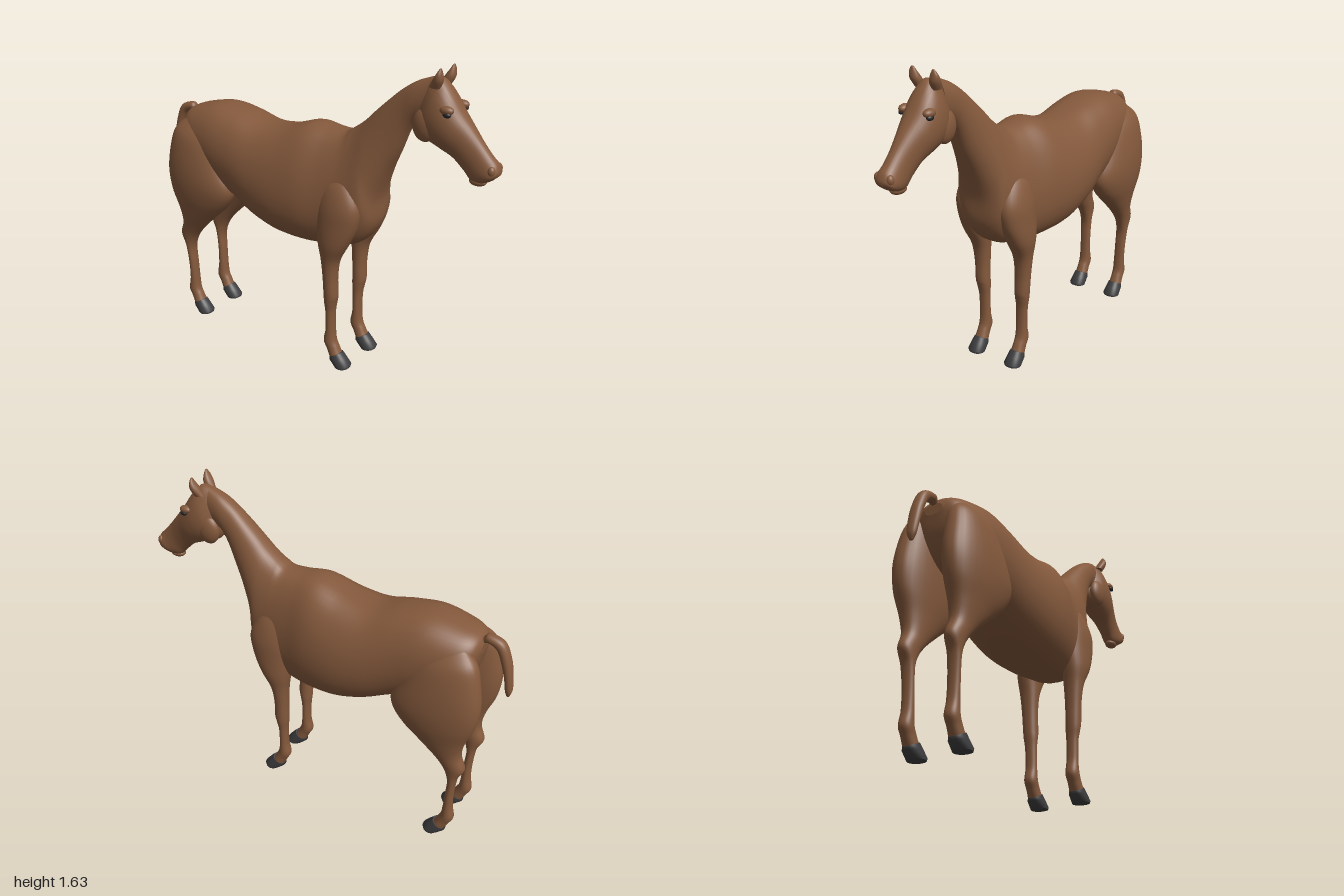
import * as THREE from 'three';

const coat = new THREE.MeshStandardMaterial({ name: 'brownCoat', color: 0x84593c });
const hoofGrey = new THREE.MeshStandardMaterial({ name: 'hoofGrey', color: 0x3d3d3f });
const eyeDark = new THREE.MeshStandardMaterial({ name: 'eyeDark', color: 0x262628 });

// Smooth curve through four values, evaluated between b and c
function spline(a, b, c, d, t) {
  return b + 0.5 * t * (c - a + t * (2 * a - 5 * b + 4 * c - d + t * (3 * (b - c) + d - a)));
}

// Loft through oval sections. Each section is [z1, y1, z2, y2, halfWidth, centreX, skew]:
// two opposite points on the mid plane, and a width that skew shifts towards the second point.
function loft(sections, { side = 1, steps = 6, sides = 32, power = 0.85 } = {}) {
  const full = sections.map(s => [...s, 0, 0].slice(0, 7));
  const rows = [];
  for (let i = 0; i < full.length - 1; i++) {
    const at = n => full[Math.min(Math.max(n, 0), full.length - 1)];
    for (let k = 0; k < steps; k++) {
      rows.push(full[i].map((_, n) => spline(at(i - 1)[n], at(i)[n], at(i + 1)[n], at(i + 2)[n], k / steps)));
    }
  }
  rows.push(full[full.length - 1]);

  const positions = [], index = [];
  const addRing = ([z1, y1, z2, y2, w, cx, skew]) => {
    const start = positions.length / 3;
    for (let j = 0; j < sides; j++) {
      const a = j / sides * Math.PI * 2, c = Math.cos(a), s = Math.sin(a);
      const x = Math.sign(s) * Math.abs(s) ** power * w * (1 - skew * c);
      positions.push(cx * side + x, (y1 + y2) / 2 + c * (y1 - y2) / 2, (z1 + z2) / 2 + c * (z1 - z2) / 2);
    }
    return start;
  };
  rows.forEach(addRing);
  for (let i = 0; i < rows.length - 1; i++) {
    for (let j = 0; j < sides; j++) {
      const a = i * sides + j, b = i * sides + (j + 1) % sides;
      index.push(a, a + sides, b + sides, a, b + sides, b);
    }
  }
  // Flat end caps
  [rows[0], rows[rows.length - 1]].forEach((row, end) => {
    const start = addRing(row), centre = positions.length / 3;
    positions.push(row[5] * side, (row[1] + row[3]) / 2, (row[0] + row[2]) / 2);
    for (let j = 0; j < sides; j++) {
      const a = start + j, b = start + (j + 1) % sides;
      index.push(centre, end ? b : a, end ? a : b);
    }
  });
  const geometry = new THREE.BufferGeometry();
  geometry.setAttribute('position', new THREE.Float32BufferAttribute(positions, 3));
  geometry.setIndex(index);
  geometry.computeVertexNormals();
  return geometry;
}

// Rump, barrel, chest and neck, back to front
const BODY = [
  [-0.845, 1.165, -0.845, 1.11, 0.05], [-0.82, 1.20, -0.82, 1.00, 0.12],
  [-0.75, 1.228, -0.75, 0.90, 0.17], [-0.60, 1.256, -0.60, 0.82, 0.20],
  [-0.45, 1.238, -0.45, 0.76, 0.215, 0, 0.05], [-0.30, 1.202, -0.30, 0.69, 0.233, 0, 0.08],
  [-0.15, 1.215, -0.15, 0.645, 0.238, 0, 0.1], [0, 1.258, 0, 0.633, 0.222, 0, 0.12],
  [0.12, 1.25, 0.12, 0.64, 0.19, 0, 0.15], [0.20, 1.25, 0.22, 0.655, 0.17, 0, 0.15],
  [0.24, 1.273, 0.31, 0.70, 0.155, 0, 0.15], [0.27, 1.293, 0.372, 0.80, 0.142, 0, 0.15],
  [0.31, 1.325, 0.386, 0.94, 0.125, 0, 0.15], [0.36, 1.375, 0.43, 1.07, 0.103, 0, 0.1],
  [0.43, 1.44, 0.485, 1.19, 0.082], [0.50, 1.50, 0.53, 1.30, 0.068],
  [0.57, 1.545, 0.575, 1.365, 0.062], [0.64, 1.573, 0.63, 1.38, 0.052],
];

// Poll to muzzle
const HEAD = [
  [0.64, 1.57, 0.585, 1.39, 0.04], [0.69, 1.578, 0.575, 1.35, 0.06],
  [0.725, 1.55, 0.60, 1.305, 0.082], [0.765, 1.50, 0.655, 1.28, 0.09],
  [0.81, 1.435, 0.715, 1.255, 0.083], [0.86, 1.375, 0.775, 1.225, 0.065],
  [0.91, 1.315, 0.83, 1.175, 0.052], [0.955, 1.265, 0.865, 1.14, 0.051],
  [0.985, 1.235, 0.91, 1.135, 0.054], [0.998, 1.205, 0.95, 1.148, 0.046],
  [0.997, 1.185, 0.97, 1.16, 0.022],
];

// Shoulder to knee, and haunch to hock, top to bottom
const FORELEG = [
  [0.26, 1.08, 0.16, 1.08, 0.02, 0.10], [0.31, 1.00, 0.13, 1.00, 0.055, 0.115],
  [0.35, 0.90, 0.11, 0.90, 0.073, 0.125], [0.335, 0.80, 0.11, 0.80, 0.074, 0.13],
  [0.29, 0.70, 0.125, 0.69, 0.066, 0.137], [0.235, 0.60, 0.14, 0.60, 0.052, 0.133],
  [0.22, 0.50, 0.147, 0.50, 0.043, 0.13], [0.222, 0.40, 0.15, 0.40, 0.04, 0.127],
  [0.215, 0.36, 0.152, 0.36, 0.038, 0.125], [0.205, 0.30, 0.157, 0.30, 0.032, 0.122],
];
const HINDLEG = [
  [-0.64, 1.16, -0.80, 1.16, 0.03, 0.11], [-0.56, 1.06, -0.86, 1.10, 0.075, 0.125],
  [-0.50, 0.93, -0.89, 0.99, 0.095, 0.135], [-0.46, 0.81, -0.905, 0.87, 0.10, 0.14],
  [-0.51, 0.71, -0.89, 0.76, 0.09, 0.14], [-0.62, 0.61, -0.85, 0.65, 0.068, 0.135],
  [-0.705, 0.53, -0.837, 0.56, 0.05, 0.13], [-0.755, 0.465, -0.862, 0.48, 0.041, 0.127],
  [-0.782, 0.39, -0.832, 0.41, 0.035, 0.125], [-0.778, 0.30, -0.82, 0.30, 0.031, 0.122],
];
// Cannon, fetlock and pastern, then the hoof, shared by all legs
const PASTERN = [
  [0.205, 0.20, 0.157, 0.20, 0.031, 0.12], [0.212, 0.14, 0.145, 0.13, 0.034, 0.12],
  [0.228, 0.105, 0.165, 0.085, 0.033, 0.12], [0.245, 0.07, 0.187, 0.04, 0.036, 0.12],
];
const HOOF = [
  [0.25, 0.078, 0.183, 0.045, 0.037, 0.12], [0.275, 0.05, 0.183, 0.03, 0.042, 0.12],
  [0.302, 0.016, 0.213, 0.004, 0.046, 0.12], [0.296, 0, 0.22, 0, 0.045, 0.12],
];

const TAIL = [
  [-0.80, 1.15, -0.80, 1.185, 0.015], [-0.835, 1.155, -0.835, 1.19, 0.018],
  [-0.865, 1.163, -0.86, 1.21, 0.026], [-0.905, 1.14, -0.935, 1.185, 0.03],
  [-0.935, 1.07, -0.975, 1.10, 0.032], [-0.955, 1.00, -0.993, 1.01, 0.03],
  [-0.965, 0.94, -0.999, 0.94, 0.024], [-0.975, 0.905, -0.99, 0.905, 0.01],
];
const EAR = [
  [0.655, 1.54, 0.705, 1.535, 0.022, 0.048], [0.675, 1.575, 0.722, 1.57, 0.027, 0.055],
  [0.695, 1.605, 0.722, 1.60, 0.021, 0.06], [0.708, 1.627, 0.716, 1.627, 0.006, 0.06],
];

export function createModel() {
  const model = new THREE.Group();
  model.name = 'horse';
  const add = (name, geometry, material = coat) => {
    const mesh = new THREE.Mesh(geometry, material);
    mesh.name = name;
    model.add(mesh);
    return mesh;
  };
  const ball = (name, position, scale, material) => {
    const mesh = add(name, new THREE.SphereGeometry(1, 24, 16), material);
    mesh.position.set(...position);
    mesh.scale.set(...scale);
    return mesh;
  };
  const shift = (sections, dz) => sections.map(([z1, y1, z2, y2, ...rest]) => [z1 + dz, y1, z2 + dz, y2, ...rest]);

  add('bodyAndNeck', loft(BODY, { sides: 48, power: 0.78 }));
  add('head', loft(HEAD));
  add('tail', loft(TAIL, { sides: 20 }));
  ball('lowerLip', [0, 1.138, 0.895], [0.032, 0.022, 0.042]);

  for (const side of [1, -1]) {
    const label = side > 0 ? 'left' : 'right';
    for (const [name, upper, dz] of [['Front', FORELEG, 0], ['Hind', HINDLEG, -0.977]]) {
      add(`${label}${name}Leg`, loft([...upper, ...shift(PASTERN, dz)], { side }));
      add(`${label}${name}Hoof`, loft(shift(HOOF, dz), { side, steps: 1 }), hoofGrey);
    }
    add(`${label}Ear`, loft(EAR, { side, sides: 16 }));
    // Cheek, brow, eye and nostril rim
    ball(`${label}Cheek`, [side * 0.05, 1.362, 0.642], [0.036, 0.078, 0.064]);
    ball(`${label}Brow`, [side * 0.07, 1.452, 0.758], [0.023, 0.02, 0.034]);
    ball(`${label}Eye`, [side * 0.08, 1.435, 0.765], [0.014, 0.013, 0.02], eyeDark);
    ball(`${label}Nostril`, [side * 0.035, 1.207, 0.972], [0.018, 0.024, 0.018]);
  }
  return model;
}
